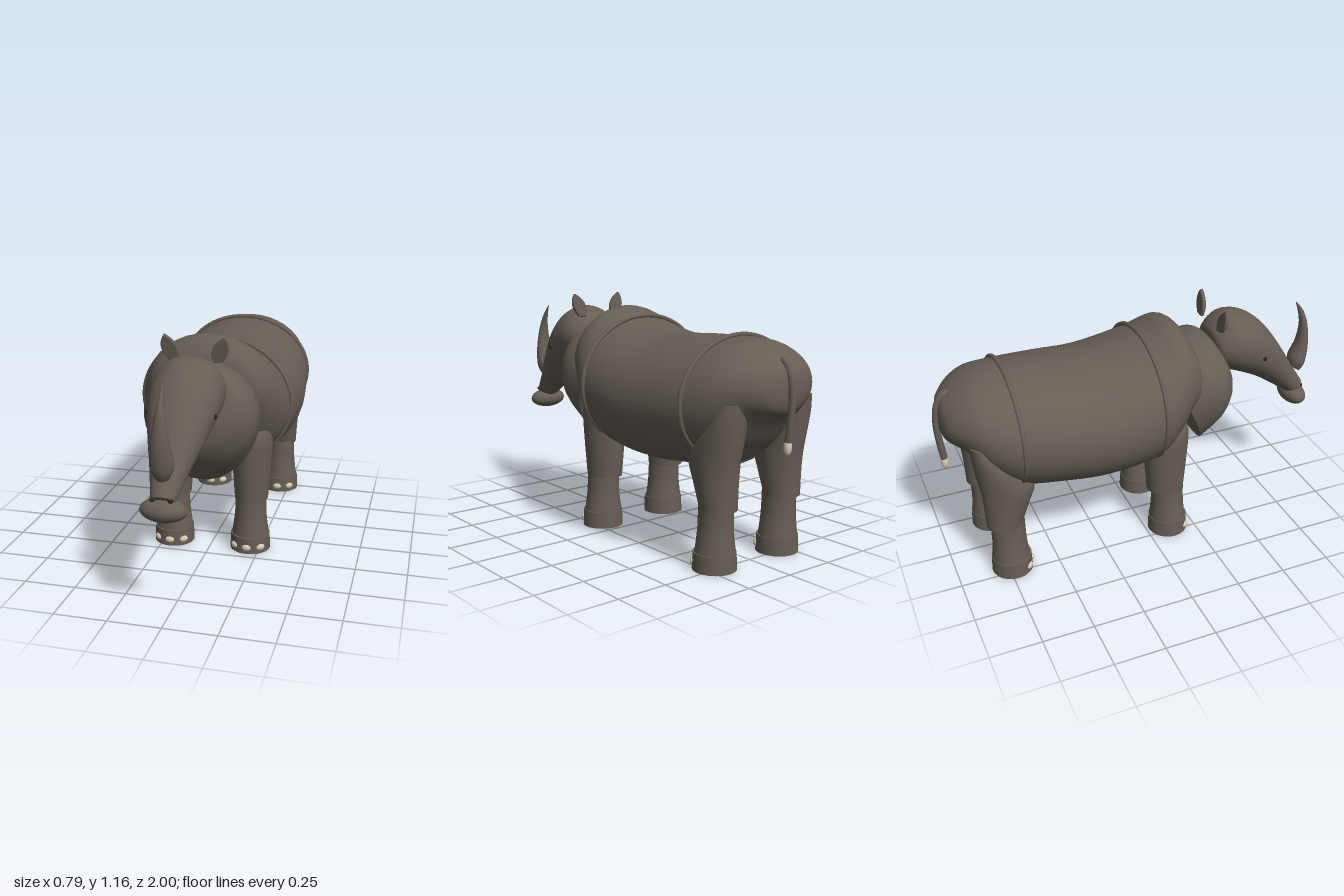
import * as THREE from 'three';

const mat = (name, color) => {
  const m = new THREE.MeshStandardMaterial({ color });
  m.name = name;
  return m;
};

// Smooth loft through elliptical rings [zTop, yTop, zBottom, yBottom, halfWidth], with flat end caps.
function loft(sections, steps = 5, cx = 0, N = 36) {
  const rings = [];
  const last = sections.length - 1;
  const at = (i) => sections[Math.max(0, Math.min(last, i))];
  for (let i = 0; i <= last; i++) {
    for (let s = 0; s < (i < last ? steps : 1); s++) {
      const t = s / steps;
      rings.push(at(i).map((b, k) => {
        const a = at(i - 1)[k], c = at(i + 1)[k], d = at(i + 2)[k];
        return b + 0.5 * t * (c - a + t * (2 * a - 5 * b + 4 * c - d + t * (3 * (b - c) + d - a)));
      }));
    }
  }
  const pos = [], idx = [];
  const addRing = ([zt, yt, zb, yb, w]) => {
    for (let j = 0; j < N; j++) {
      const a = (j / N) * Math.PI * 2, s = Math.sin(a) / 2;
      pos.push(cx + w * Math.cos(a), (yt + yb) / 2 + (yt - yb) * s, (zt + zb) / 2 + (zt - zb) * s);
    }
  };
  rings.forEach(addRing);
  for (let i = 0; i < rings.length - 1; i++) {
    for (let j = 0; j < N; j++) {
      const k = (j + 1) % N, a = i * N + j, b = i * N + k;
      idx.push(a, b, b + N, a, b + N, a + N);
    }
  }
  [rings[0], rings[rings.length - 1]].forEach((r, end) => {
    const base = pos.length / 3;
    addRing(r);
    pos.push(cx, (r[1] + r[3]) / 2, (r[0] + r[2]) / 2);
    for (let j = 0; j < N; j++) {
      const a = base + j, b = base + ((j + 1) % N);
      idx.push(...(end ? [a, b, base + N] : [b, a, base + N]));
    }
  });
  const g = new THREE.BufferGeometry();
  g.setAttribute('position', new THREE.Float32BufferAttribute(pos, 3));
  g.setIndex(idx);
  g.computeVertexNormals();
  return g;
}

export function createModel() {
  const root = new THREE.Group();
  const hide = mat('hide', 0x665e55);
  const nail = mat('nail', 0xd6cbb2);
  const dark = mat('dark', 0x2b2724);

  const add = (name, geometry, material, parent = root) => {
    const m = new THREE.Mesh(geometry, material);
    m.name = name;
    parent.add(m);
    return m;
  };
  const blob = (name, material, p, r, parent = root) => {
    const m = add(name, new THREE.SphereGeometry(1, 24, 16), material, parent);
    m.position.set(...p);
    m.scale.set(...r);
    return m;
  };

  // Barrel body, rump to shoulders
  add('body', loft([
    [-0.975, 0.84, -0.975, 0.77, 0.05],
    [-0.955, 0.91, -0.955, 0.715, 0.14],
    [-0.88, 0.975, -0.88, 0.66, 0.24],
    [-0.79, 1.015, -0.79, 0.54, 0.31],
    [-0.66, 1.022, -0.66, 0.44, 0.35],
    [-0.45, 1.015, -0.45, 0.405, 0.38],
    [-0.22, 1.008, -0.22, 0.388, 0.394],
    [0.03, 1.06, 0.03, 0.41, 0.375],
    [0.14, 1.105, 0.14, 0.49, 0.335],
    [0.2, 1.1, 0.2, 0.58, 0.3],
    [0.255, 1.04, 0.25, 0.66, 0.265],
    [0.28, 0.97, 0.27, 0.72, 0.2],
  ]), hide);

  // Folded neck with a sharp lower rim
  add('neck', loft([
    [0.08, 0.98, 0.335, 0.43, 0.26],
    [0.24, 1.0, 0.43, 0.53, 0.275],
    [0.33, 1.012, 0.49, 0.63, 0.24],
    [0.39, 0.99, 0.5, 0.72, 0.19],
    [0.42, 0.94, 0.495, 0.77, 0.13],
  ]), hide);

  // Long drooping head
  add('head', loft([
    [0.41, 0.97, 0.425, 0.88, 0.06],
    [0.415, 1.02, 0.44, 0.82, 0.125],
    [0.5, 1.084, 0.49, 0.785, 0.163],
    [0.6, 1.072, 0.58, 0.745, 0.165],
    [0.7, 1.0, 0.66, 0.705, 0.148],
    [0.8, 0.875, 0.74, 0.655, 0.118],
    [0.9, 0.72, 0.83, 0.59, 0.08],
    [0.98, 0.6, 0.905, 0.535, 0.055],
  ]), hide);
  blob('muzzle', hide, [0, 0.525, 0.937], [0.105, 0.052, 0.063]);

  // Curved horn
  add('horn', loft([
    [0.9, 0.7, 0.965, 0.66, 0.035],
    [0.9, 0.75, 0.99, 0.71, 0.053],
    [0.935, 0.83, 1.0, 0.82, 0.042],
    [0.945, 0.92, 0.988, 0.93, 0.026],
    [0.93, 1.0, 0.957, 1.01, 0.012],
    [0.908, 1.062, 0.912, 1.064, 0.002],
  ], 5, 0, 16), hide);

  // Leaf-shaped ear
  const leaf = new THREE.Shape();
  leaf.moveTo(0.09, 1.04);
  leaf.quadraticCurveTo(0.06, 1.11, 0.14, 1.155);
  leaf.quadraticCurveTo(0.175, 1.1, 0.125, 1.045);
  const earGeo = new THREE.ExtrudeGeometry(leaf, {
    depth: 0.008, bevelThickness: 0.006, bevelSize: 0.004, bevelSegments: 2, curveSegments: 10,
  });
  earGeo.translate(0, -1.05, 0).rotateX(0.15).translate(0, 1.05, 0.415);

  for (const s of [1, -1]) {
    const side = s > 0 ? 'left' : 'right';
    const ear = add(side + 'Ear', earGeo.clone(), hide);
    if (s < 0) ear.geometry.translate(-0.23, 0, 0).rotateY(Math.PI).translate(-0.23, 0, 0.83 + 0.014);
    if (s < 0) ear.geometry.copy(mirrorX(earGeo));
    blob(side + 'Eye', dark, [s * 0.15, 0.86, 0.66], [0.012, 0.012, 0.012]);
    blob(side + 'Nostril', dark, [s * 0.04, 0.58, 0.963], [0.012, 0.01, 0.012]);

    // Legs: thigh, shin, foot and three nails
    for (const front of [true, false]) {
      const leg = new THREE.Group();
      leg.name = side + (front ? 'FrontLeg' : 'HindLeg');
      root.add(leg);
      const cx = s * 0.2, fz = front ? 0.115 : -0.73;
      const ring = (y, z1, z0, w) => [z1, y, z0, y, w];
      add('upperLeg', loft(front ? [
        ring(0.64, 0.2, 0.0, 0.09),
        ring(0.58, 0.212, -0.015, 0.102),
        ring(0.44, 0.205, -0.012, 0.096),
        ring(0.265, 0.193, 0.002, 0.083),
      ] : [
        ring(0.76, -0.8, -0.885, 0.07),
        ring(0.68, -0.74, -0.878, 0.09),
        ring(0.58, -0.64, -0.865, 0.1),
        ring(0.49, -0.592, -0.85, 0.1),
        ring(0.4, -0.62, -0.842, 0.092),
        ring(0.28, -0.665, -0.838, 0.083),
      ], 5, cx), hide, leg);
      add('lowerLeg', loft([
        ring(0.3, fz + 0.078, fz - 0.09, 0.076),
        ring(0.18, fz + 0.08, fz - 0.088, 0.08),
        ring(0.07, fz + 0.09, fz - 0.095, 0.095),
      ], 5, cx), hide, leg);
      const foot = add('foot', new THREE.CylinderGeometry(0.098, 0.101, 0.082, 36), hide, leg);
      foot.position.set(cx, 0.041, fz);
      for (const a of [-0.75, 0, 0.75]) {
        const n = blob('toenail', nail,
          [cx + 0.098 * Math.sin(a), 0.033, fz + 0.098 * Math.cos(a)], [0.023, 0.017, 0.012], leg);
        n.rotation.y = a;
      }
    }
  }

  // Raised skin folds around the barrel
  const fold = (name, z, top, bottom, w) => {
    const pts = [];
    for (let i = 0; i < 32; i++) {
      const a = (i / 32) * Math.PI * 2;
      pts.push(new THREE.Vector3(w * Math.cos(a), (top + bottom + (top - bottom) * Math.sin(a)) / 2, z));
    }
    add(name, new THREE.TubeGeometry(new THREE.CatmullRomCurve3(pts, true), 80, 0.011, 10, true), hide);
  };
  fold('shoulderFold', 0.025, 1.066, 0.415, 0.378);
  fold('hipFold', -0.66, 1.028, 0.445, 0.351);

  // Tail with a pale tip
  const tailPath = new THREE.CatmullRomCurve3([
    [0.935, -0.9], [0.935, -0.935], [0.88, -0.97], [0.78, -0.983], [0.68, -0.977], [0.59, -0.966],
  ].map(([y, z]) => new THREE.Vector3(0, y, z)));
  add('tail', new THREE.TubeGeometry(tailPath, 30, 0.017, 12), hide);
  blob('tailTip', nail, [0, 0.567, -0.965], [0.018, 0.038, 0.018]);

  return root;
}

// Mirrored copy across x = 0 with corrected face order
function mirrorX(source) {
  const g = source.clone().scale(-1, 1, 1);
  const p = g.attributes.position;
  for (let i = 0; i < p.count; i += 3) {
    const b = new THREE.Vector3().fromBufferAttribute(p, i + 1);
    const c = new THREE.Vector3().fromBufferAttribute(p, i + 2);
    p.setXYZ(i + 1, c.x, c.y, c.z);
    p.setXYZ(i + 2, b.x, b.y, b.z);
  }
  g.computeVertexNormals();
  return g;
}
